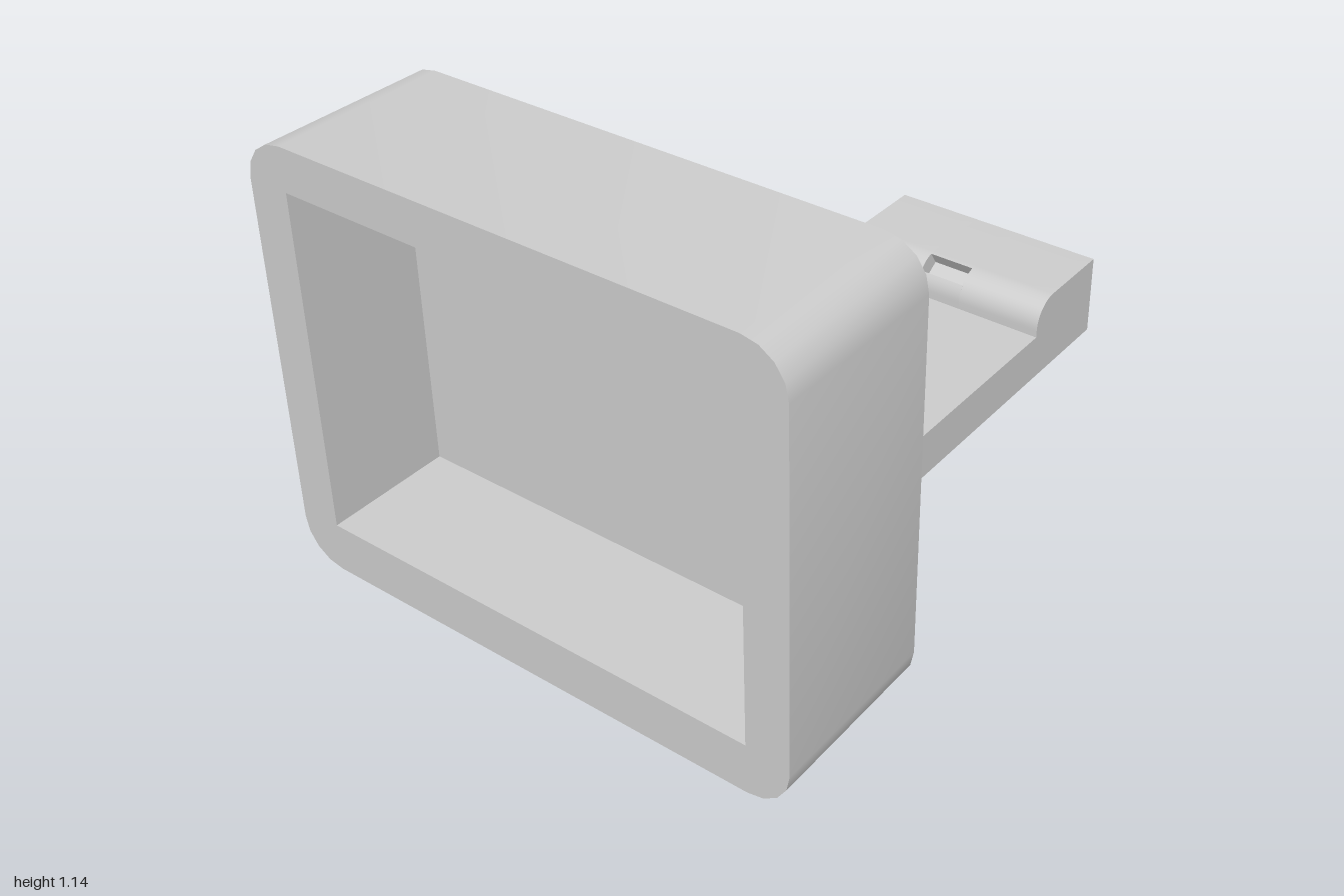
import * as THREE from 'three';
import { toCreasedNormals } from 'three/addons/utils/BufferGeometryUtils.js';

const material = new THREE.MeshStandardMaterial({ color: 0xcccccc });

function addMesh(parent, name, geometry) {
  const mesh = new THREE.Mesh(toCreasedNormals(geometry, 0.6), material);
  mesh.name = name;
  parent.add(mesh);
  return mesh;
}

// Points on a circular arc, angles in degrees
function arc(cx, cy, r, from, to, steps) {
  return Array.from({ length: steps + 1 }, (_, i) => {
    const a = THREE.MathUtils.degToRad(from + ((to - from) * i) / steps);
    return new THREE.Vector2(cx + r * Math.cos(a), cy + r * Math.sin(a));
  });
}

// Extrude an x-y profile between two z positions
function extrudeZ(points, z0, z1) {
  return new THREE.ExtrudeGeometry(new THREE.Shape(points), { depth: z1 - z0, bevelEnabled: false })
    .translate(0, 0, z0);
}

export function createModel() {
  const group = new THREE.Group();

  // Housing: rounded rectangular ring, open through x
  const W = 0.723, H = 1.143, R = 0.11;
  const ring = new THREE.Shape([
    ...arc(W - R, R, R, -90, 0, 4),
    ...arc(W - R, H - R, R, 0, 90, 4),
    ...arc(-W + R, H - R, R, 90, 180, 4),
    ...arc(-W + R, R, R, 180, 270, 4),
  ]);
  const w = 0.61, y0 = 0.133, y1 = 1.032;
  ring.holes.push(new THREE.Path([
    new THREE.Vector2(-w, y0), new THREE.Vector2(-w, y1),
    new THREE.Vector2(w, y1), new THREE.Vector2(w, y0),
  ]));
  const housing = new THREE.ExtrudeGeometry(ring, { depth: 0.462, bevelEnabled: false });
  housing.rotateY(Math.PI / 2).translate(-1, 0, 0);
  addMesh(group, 'housing', housing);

  // Divider panel set just behind the housing's inner face
  addMesh(group, 'panel', new THREE.BoxGeometry(0.05, y1 - y0, 2 * w))
    .position.set(-0.635, (y0 + y1) / 2, 0);

  // Tray with a raised, round-edged end block
  const r = 0.08, cx = 0.692 + r, cy = 0.235 - r, half = 0.318;
  const trayProfile = (edge) => [
    new THREE.Vector2(-0.538, 0), new THREE.Vector2(1, 0), new THREE.Vector2(1, 0.235),
    ...edge,
    new THREE.Vector2(0.692, y0), new THREE.Vector2(-0.538, y0),
  ];
  const plain = trayProfile(arc(cx, cy, r, 90, 180, 12));

  // Middle strip: a slot is sunk square to the rounded edge
  const upper = arc(cx, cy, r, 90, 101, 2);
  const lower = arc(cx, cy, r, 144, 180, 5);
  const inward = new THREE.Vector2(0.025, -0.039);
  const slotted = trayProfile([
    ...upper,
    upper[upper.length - 1].clone().add(inward),
    lower[0].clone().add(inward),
    ...lower,
  ]);

  const tray = new THREE.Group();
  tray.name = 'tray';
  group.add(tray);
  const s = 0.068;
  addMesh(tray, 'traySideLeft', extrudeZ(plain, -half, -s));
  addMesh(tray, 'traySlotSection', extrudeZ(slotted, -s, s));
  addMesh(tray, 'traySideRight', extrudeZ(plain, s, half));

  return group;
}
